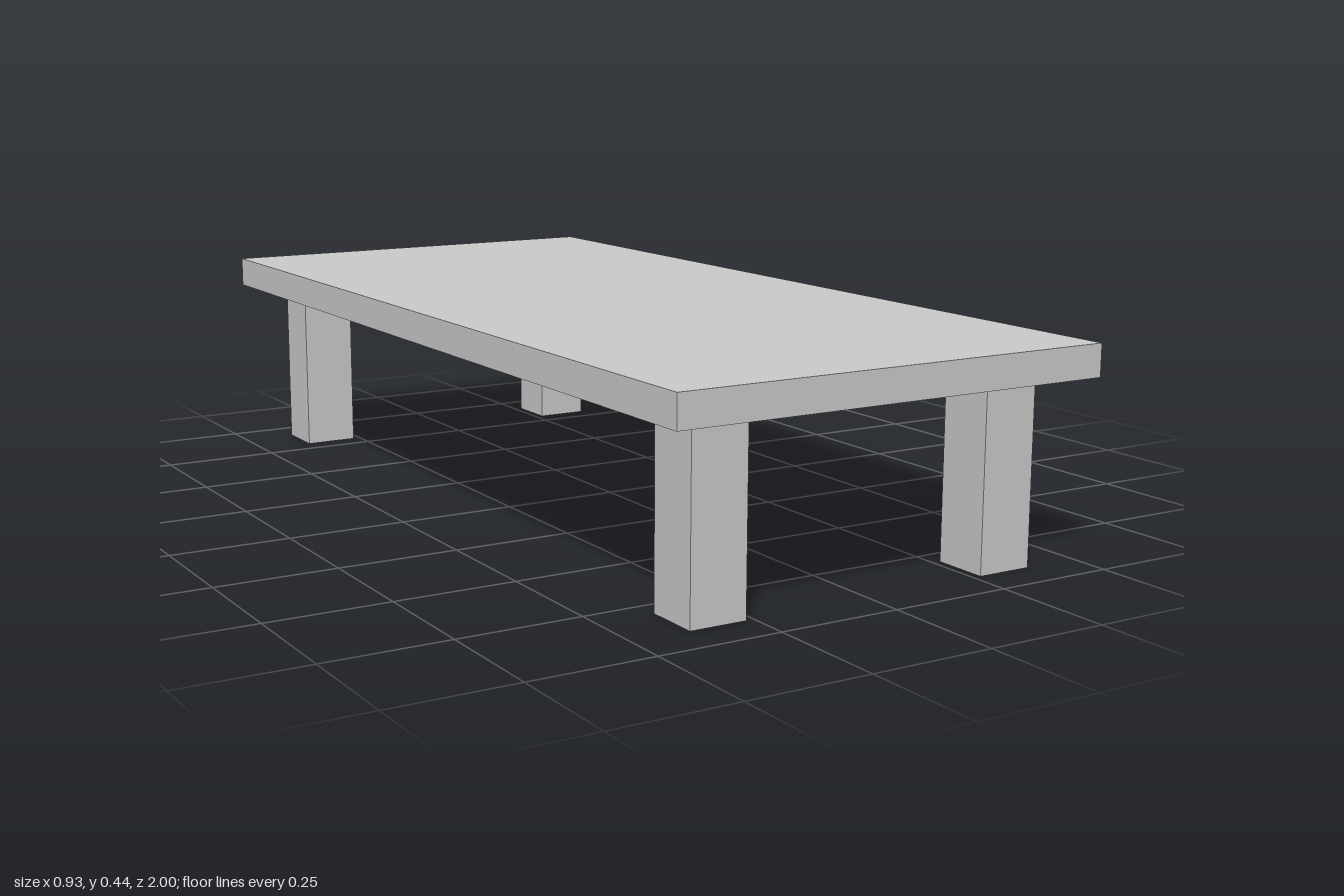
import * as THREE from 'three';

const WIDTH = 0.933, LENGTH = 2, HEIGHT = 0.44, SLAB = 0.065;
const LEG = 0.117, LEG_X = 0.325, LEG_Z = 0.858;

export function createModel() {
  const table = new THREE.Group();
  table.name = 'table';
  const material = new THREE.MeshStandardMaterial({ color: 0xcccccc });

  // Box standing on the given base height
  const addBox = (name, w, h, d, x, base, z) => {
    const mesh = new THREE.Mesh(new THREE.BoxGeometry(w, h, d), material);
    mesh.name = name;
    mesh.position.set(x, base + h / 2, z);
    table.add(mesh);
  };

  // Table top
  addBox('tableTop', WIDTH, SLAB, LENGTH, 0, HEIGHT - SLAB, 0);

  // Four square legs, set in from the corners
  for (const [end, sz] of [['front', 1], ['back', -1]]) {
    for (const [side, sx] of [['Left', 1], ['Right', -1]]) {
      addBox(`${end}${side}Leg`, LEG, HEIGHT - SLAB, LEG, sx * LEG_X, 0, sz * LEG_Z);
    }
  }
  return table;
}
